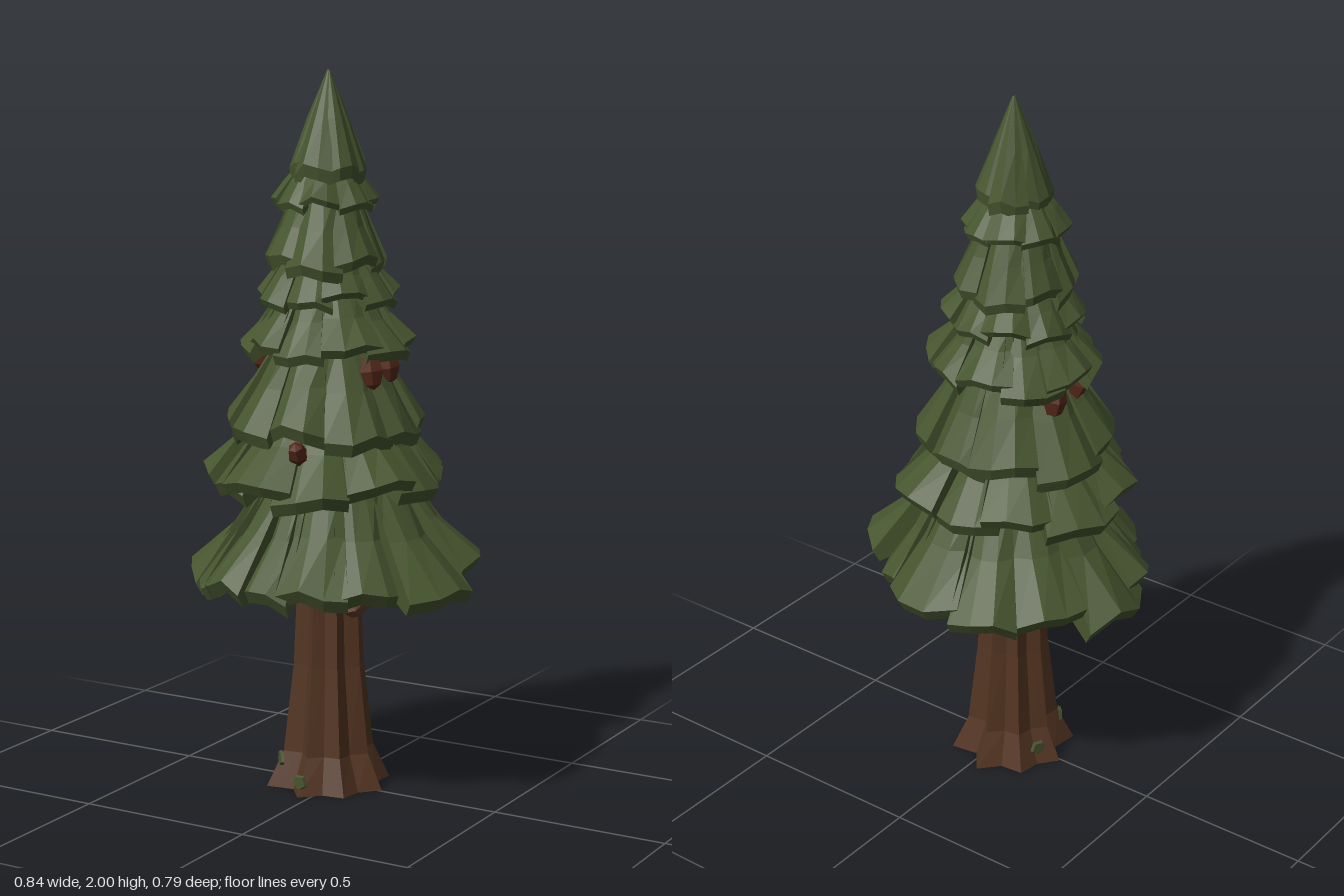
import * as THREE from 'three';
import { mergeGeometries } from 'three/addons/utils/BufferGeometryUtils.js';

const flat = (name, color) => new THREE.MeshStandardMaterial({ name, color, flatShading: true });
const rad = THREE.MathUtils.degToRad;

function seeded(seed) {
  return () => {
    seed = (seed * 16807) % 2147483647;
    return seed / 2147483647;
  };
}

// One solid leafy flap: a drooping wedge with a ragged lower edge
function lobe(angle, half, r0, y0, r1, y1, flare, rand) {
  const cols = [-1, -0.35, 0.3, 1];
  const drop = y0 - y1;
  const thick = Math.min(0.035, drop * 0.16);
  const grid = cols.map((c) => {
    const edge = Math.abs(c) === 1 ? 1 : 0;
    const r = r1 * (1 - 0.05 * edge + (rand() - 0.5) * 0.06);
    const y = y1 + (rand() - 0.5) * drop * 0.14 - edge * 0.012;
    const tuck = 1 - edge * 0.05;
    const rows = [
      [r0, y0],
      [(r0 + (r - r0) * flare) * tuck, y0 - drop * 0.52],
      [r, y],
      [r * 0.95, y - thick],
      [r0 * 0.6, y1 + drop * 0.3],
    ];
    return rows.map(([rr, yy]) => {
      const a = angle + c * half;
      return [rr * Math.cos(a), yy, rr * Math.sin(a)];
    });
  });
  const out = [];
  const tri = (a, b, c) => out.push(...a, ...b, ...c);
  const n = grid[0].length;
  for (let c = 0; c < cols.length - 1; c++) {
    for (let i = 0; i < n; i++) {
      const j = (i + 1) % n;
      tri(grid[c][i], grid[c + 1][i], grid[c + 1][j]);
      tri(grid[c][i], grid[c + 1][j], grid[c][j]);
    }
  }
  const last = grid[cols.length - 1];
  for (let i = 1; i < n - 1; i++) {
    tri(grid[0][0], grid[0][i], grid[0][i + 1]);
    tri(last[0], last[i + 1], last[i]);
  }
  const g = new THREE.BufferGeometry();
  g.setAttribute('position', new THREE.Float32BufferAttribute(out, 3));
  g.computeVertexNormals();
  return g;
}

// Fluted trunk with flared roots
function trunkGeometry() {
  const ys = [0, 0.1, 0.35, 0.65, 0.95];
  const rs = [0.172, 0.125, 0.097, 0.085, 0.07];
  const g = new THREE.CylinderGeometry(1, 1, 1, 16, 4);
  const p = g.attributes.position;
  for (let i = 0; i < p.count; i++) {
    const row = Math.round((p.getY(i) + 0.5) * 4);
    const x = p.getX(i), z = p.getZ(i);
    const k = (Math.round(Math.atan2(z, x) / (Math.PI / 8)) + 16) % 16;
    const r = rs[row] * (k % 2 ? 0.76 : 1) * (1 + 0.05 * Math.sin(k * 2.3 + row * 0.4));
    p.setXYZ(i, x * r, ys[row], z * r);
  }
  g.computeVertexNormals();
  return g;
}

export function createModel() {
  const tree = new THREE.Group();
  tree.name = 'pineTree';
  const needles = flat('needle green', 0x47552f);
  const bark = flat('bark brown', 0x543522);
  const coneBrown = flat('cone brown', 0x56291a);
  const rand = seeded(4217);

  const add = (name, geometry, material, x = 0, y = 0, z = 0) => {
    const mesh = new THREE.Mesh(geometry, material);
    mesh.name = name;
    mesh.position.set(x, y, z);
    tree.add(mesh);
    return mesh;
  };

  add('trunk', trunkGeometry(), bark, -0.03, 0, -0.007);

  // Bare branches under the lowest tier
  const branches = [
    [[-0.08, 0.49, 0], [-0.14, 0.55, 0], [-0.19, 0.61, 0], [-0.25, 0.7, 0]],
    [[0.02, 0.5, 0], [0.09, 0.525, 0], [0.125, 0.59, 0], [0.17, 0.7, 0]],
  ];
  for (const pts of branches) {
    const curve = new THREE.CatmullRomCurve3(pts.map((p) => new THREE.Vector3(...p)));
    add('branch', new THREE.TubeGeometry(curve, 5, 0.019, 5), bark);
  }

  // Moss plates on the roots
  for (const [deg, y, r] of [[90, 0.04, 0.155], [135, 0.08, 0.135], [205, 0.06, 0.145]]) {
    const a = rad(deg);
    const g = new THREE.CylinderGeometry(0.02, 0.024, 0.009, 5).rotateX(Math.PI / 2);
    const moss = add('moss', g, needles, -0.03 + r * Math.cos(a), y, r * Math.sin(a));
    moss.rotation.y = Math.PI / 2 - a;
  }

  // Lowest tier: angle, half width, reach, rim height
  const skirt = [
    [14, 18, 0.43, 0.62], [-24, 18, 0.405, 0.67], [-57, 15, 0.36, 0.63], [-86, 20, 0.4, 0.65],
    [-117, 14, 0.41, 0.63], [-146, 15, 0.41, 0.64], [180, 19, 0.43, 0.59], [157, 14, 0.41, 0.62],
    [137, 13, 0.39, 0.61], [115, 13, 0.405, 0.64], [95, 13, 0.375, 0.62], [71, 16, 0.375, 0.64],
    [44, 17, 0.37, 0.62],
  ];
  add('lowestTier', mergeGeometries(skirt.map(([a, h, r, y]) =>
    lobe(rad(a), rad(h), 0.19, 0.89 + rand() * 0.02, r, y, 0.42, rand))), needles);

  // Upper tiers: lobes, centre x, top radius, top y, rim radius, rim y, flare
  const tiers = [
    [11, -0.03, 0.17, 1.1, 0.33, 0.9, 0.42],
    [9, -0.03, 0.13, 1.28, 0.27, 1.04, 0.5],
    [10, -0.03, 0.12, 1.42, 0.235, 1.265, 0.42],
    [9, -0.03, 0.11, 1.51, 0.185, 1.4, 0.5],
    [8, -0.035, 0.09, 1.67, 0.17, 1.495, 0.5],
    [8, -0.035, 0.06, 1.76, 0.142, 1.655, 0.55],
    [7, -0.025, 0.004, 2.0, 0.108, 1.75, 0.53],
  ];
  tiers.forEach(([n, x, r0, y0, r1, y1, flare], t) => {
    const parts = [];
    const step = (Math.PI * 2) / n;
    for (let i = 0; i < n; i++) {
      const lift = (i % 2 ? 0.012 : -0.012) * (r1 / 0.25);
      const reach = r1 * (0.95 + rand() * 0.13);
      const half = step * (0.54 + rand() * 0.1);
      const a = i * step + t * 0.7 + (rand() - 0.5) * step * 0.2;
      parts.push(lobe(a, half, r0, y0, reach, y1 + lift, flare, rand));
    }
    add('needleTier', mergeGeometries(parts), needles, x, 0, 0);
  });

  // Inner core closing the gaps between tiers
  add('needleCore', new THREE.CylinderGeometry(0.05, 0.2, 1.0, 10), needles, -0.03, 1.27, 0);

  // Hanging cones
  const cones = [
    [0.16, 1.205, 0.09], [0.15, 1.205, -0.015], [-0.205, 1.2, -0.06],
    [-0.2, 1.205, 0.045], [0.025, 0.99, 0.25],
  ];
  cones.forEach(([x, y, z], i) => {
    const g = new THREE.SphereGeometry(1, 6, 4).scale(0.035, 0.052, 0.035);
    const cone = add('pineCone', g, coneBrown, x, y, z);
    if (i === 4) cone.scale.setScalar(0.8);
    cone.rotation.set(0.1 * i, i * 1.3, 0.15 - 0.1 * i);
  });

  return tree;
}
